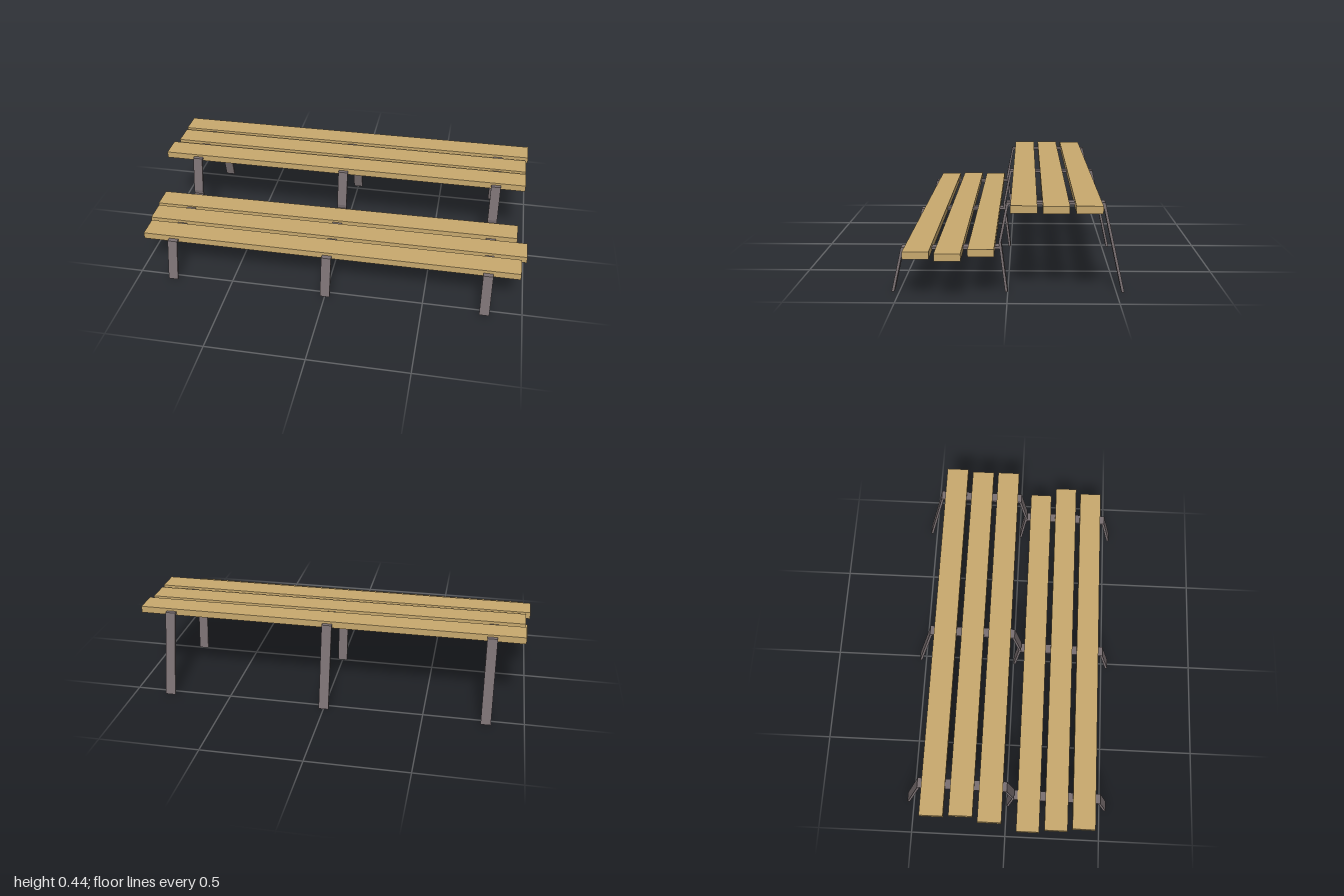
import * as THREE from 'three';

const wood = new THREE.MeshStandardMaterial({ color: 0xc8a96e, flatShading: true });
const metal = new THREE.MeshStandardMaterial({ color: 0x7a7072, flatShading: true });

const FRAME_WIDTH = 0.05;
const PLANK_DEPTH = 0.118;
const PLANK_THICKNESS = 0.034;

// Bent flat bar: closed (z, y) side profile extruded along x
function bentBar(name, profile, x) {
  const shape = new THREE.Shape(profile.map(([z, y]) => new THREE.Vector2(z, y)));
  const geometry = new THREE.ExtrudeGeometry(shape, { depth: FRAME_WIDTH, bevelEnabled: false });
  geometry.translate(0, 0, -FRAME_WIDTH / 2).rotateY(-Math.PI / 2);
  const mesh = new THREE.Mesh(geometry, metal);
  mesh.name = name;
  mesh.position.x = x;
  return mesh;
}

// Plank between two x ends, slightly tilted along its length
function plank(name, [x0, x1, y, z, tilt]) {
  const mesh = new THREE.Mesh(new THREE.BoxGeometry(x1 - x0, PLANK_THICKNESS, PLANK_DEPTH), wood);
  mesh.name = name;
  mesh.position.set((x0 + x1) / 2, y, z);
  mesh.rotation.z = tilt;
  return mesh;
}

export function createModel() {
  const model = new THREE.Group();
  model.name = 'picnicBench';

  // Low front leg with the seat rail
  const seatBar = [[0.537, 0], [0.489, 0.21], [0.037, 0.217], [0.037, 0.205], [0.479, 0.199], [0.524, 0]];
  // Kinked middle leg, table rail and back leg
  const tableBar = [
    [0.012, 0], [0.042, 0.238], [0.006, 0.424], [-0.441, 0.424], [-0.537, 0],
    [-0.524, 0], [-0.431, 0.412], [-0.004, 0.412], [0.03, 0.238], [0, 0],
  ];
  for (const x of [-0.813, 0, 0.813]) {
    const frame = new THREE.Group();
    frame.name = 'frame';
    frame.add(bentBar('seatBar', seatBar, x), bentBar('tableBar', tableBar, x));
    model.add(frame);
  }

  // Planks: x start, x end, y, z, tilt
  const seatPlanks = [
    [-0.975, 0.972, 0.21, 0.406, 0],
    [-0.988, 1.0, 0.21, 0.263, 0],
    [-1.0, 0.948, 0.21, 0.118, 0.006],
  ];
  const tablePlanks = [
    [-0.993, 0.965, 0.419, -0.073, 0],
    [-0.969, 0.965, 0.419, -0.216, -0.002],
    [-0.974, 0.976, 0.419, -0.361, 0.0015],
  ];
  seatPlanks.forEach((p) => model.add(plank('seatPlank', p)));
  tablePlanks.forEach((p) => model.add(plank('tablePlank', p)));
  return model;
}
